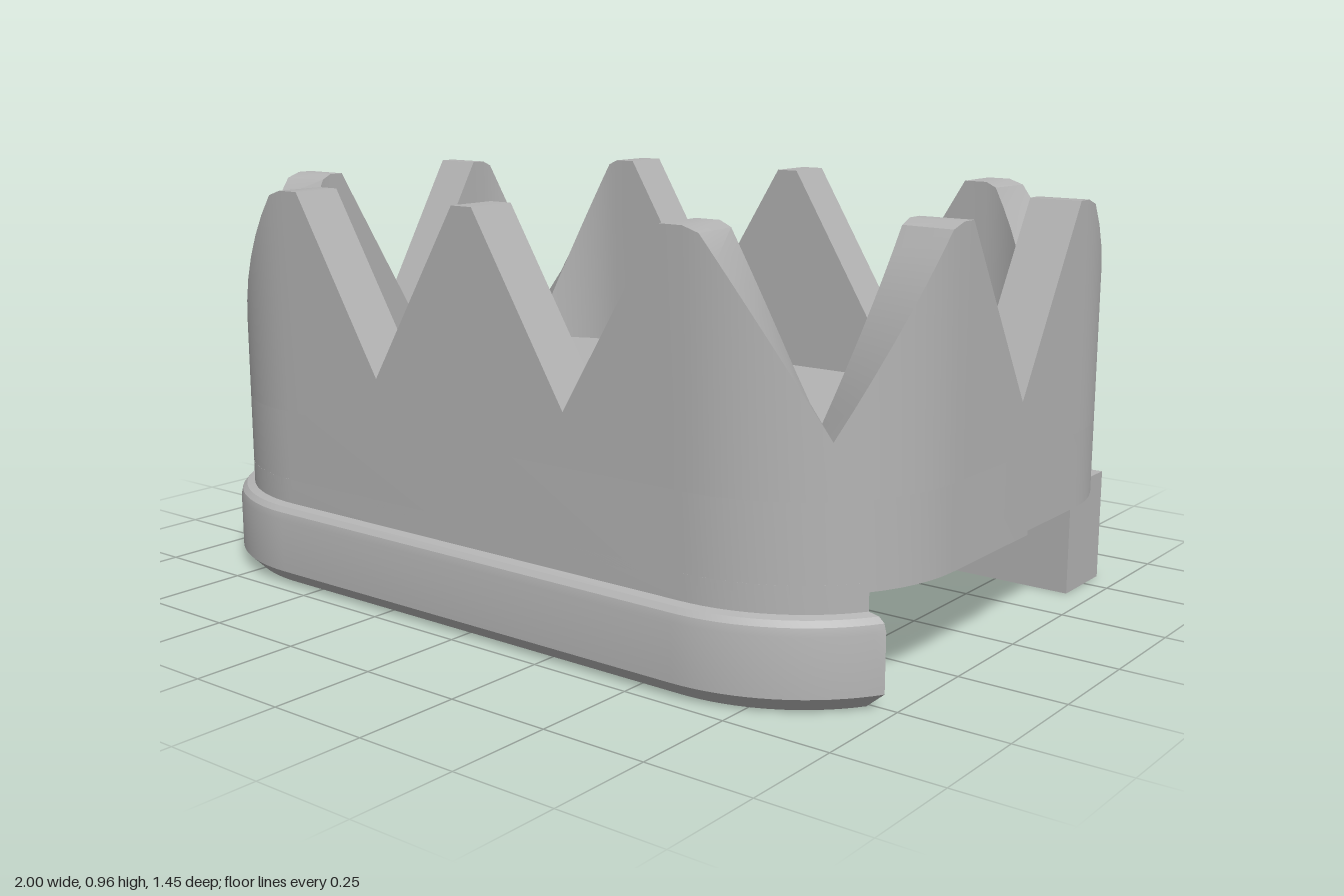
import * as THREE from 'three';
import { toCreasedNormals } from 'three/addons/utils/BufferGeometryUtils.js';

const CX = 0.6, CZ = 0.29, R = 0.4;      // corner centres and radius of the rounded plan
const TIP = 0.965, VALLEY = 0.55, FLOOR = 0.43, WALL = 0.125;

// Skin a stack of closed rings, optionally closing both ends
function loft(rings, caps) {
  const pos = [], n = rings[0].length;
  const tri = (a, b, c) => pos.push(...a, ...b, ...c);
  for (let k = 0; k < rings.length - 1; k++) {
    for (let i = 0; i < n; i++) {
      const j = (i + 1) % n;
      const a = rings[k][i], b = rings[k][j], c = rings[k + 1][j], d = rings[k + 1][i];
      tri(a, d, c);
      tri(a, c, b);
    }
  }
  if (caps) {
    const lo = rings[0], hi = rings[rings.length - 1];
    for (let i = 1; i < n - 1; i++) {
      tri(lo[0], lo[i], lo[i + 1]);
      tri(hi[0], hi[i + 1], hi[i]);
    }
  }
  const g = new THREE.BufferGeometry();
  g.setAttribute('position', new THREE.Float32BufferAttribute(pos, 3));
  g.computeVertexNormals();
  return toCreasedNormals(g, 0.5);
}

// Part of the rounded plan in front of z = cut; levels are [outward offset, y]
function slice(cut, levels) {
  return loft(levels.map(([o, y]) => {
    const r = R + o, half = [];
    const t0 = cut > CZ ? Math.asin((cut - CZ) / r) : 0;
    half.push([CX + r * Math.cos(t0), y, cut]);
    for (let i = 0; i <= 16; i++) {
      const t = t0 + (Math.PI / 2 - t0) * i / 16;
      half.push([CX + r * Math.cos(t), y, CZ + r * Math.sin(t)]);
    }
    return half.concat(half.map(([x, h, z]) => [-x, h, z]).reverse());
  }), true);
}

// Spiked wall: one quarter of the outline, mirrored around
function crownWall() {
  const quarter = [[1, 0, 1, 0, VALLEY], [1, 0.25, 1, 0, TIP]];
  for (let i = 0; i <= 16; i++) {
    const t = Math.PI / 2 * i / 16, c = Math.cos(t), s = Math.sin(t);
    const u = Math.abs(Math.sin(t - Math.PI / 4)) * Math.SQRT2;
    quarter.push([CX + R * c, CZ + R * s, c, s, VALLEY + (TIP - VALLEY) * Math.min(1, u * 1.08)]);
  }
  for (const [x, y] of [[0.54, TIP], [0.285, VALLEY], [0.03, TIP], [0, TIP]]) {
    quarter.push([x, CZ + R, 0, 1, y]);
  }
  const flip = quarter.map(([x, z, nx, nz, y]) => [-x, z, -nx, nz, y]).reverse();
  const half = quarter.concat(flip.slice(1, -1));
  const loop = half.concat(half.map(([x, z, nx, nz, y]) => [-x, -z, -nx, -nz, y]));
  // the mirrored half ends just before the side valley at -x
  loop.splice(half.length, 0, [-1, 0, -1, 0, VALLEY]);
  loop.splice(half.length + 1, 1);
  const ring = (inset, y) => loop.map(p => [p[0] - p[2] * inset, y ?? p[4], p[1] - p[3] * inset]);
  return loft([ring(0, FLOOR), ring(0), ring(WALL), ring(WALL, FLOOR)], false);
}

export function createModel() {
  const model = new THREE.Group();
  const grey = new THREE.MeshStandardMaterial({ color: 0xb4b4b4 });
  grey.name = 'plain grey';

  const add = (name, geometry, turn = 0) => {
    const m = new THREE.Mesh(geometry, grey);
    m.name = name;
    m.rotation.y = turn;
    model.add(m);
    return m;
  };
  const box = (name, x0, x1, y0, y1, z0, z1) => {
    const m = add(name, new THREE.BoxGeometry(x1 - x0, y1 - y0, z1 - z0));
    m.position.set((x0 + x1) / 2, (y0 + y1) / 2, (z0 + z1) / 2);
  };

  add('crownWall', crownWall());

  // Floor slab, slightly thinner towards the back
  add('floorFront', slice(-0.05, [[0, 0.24], [0, FLOOR]]));
  add('floorBack', slice(0.05, [[0, 0.25], [0, FLOOR]]), Math.PI);

  // Rounded rims under the front and back
  const rim = [[0, 0], [0.035, 0.035], [0.035, 0.165], [0.031, 0.183], [0.02, 0.195], [0, 0.2], [0, 0.26]];
  add('frontRim', slice(0.51, rim));
  add('backRim', slice(0.57, rim), Math.PI);

  // Slotted frame inside the back rim
  box('rearBar', -0.82, 0.82, 0, 0.27, -0.45, -0.4);
  box('rimBacking', -0.82, 0.82, 0, 0.27, -0.575, -0.52);
  for (const s of [-1, 1]) {
    box(s > 0 ? 'leftEndBlock' : 'rightEndBlock', s > 0 ? 0.8 : -0.94, s > 0 ? 0.94 : -0.8, 0, 0.27, -0.575, -0.4);
  }

  // Small chamfered latch in the middle of the bar
  const profile = new THREE.Shape([[-0.41, 0], [-0.345, 0], [-0.32, 0.025], [-0.32, 0.215], [-0.41, 0.215]]
    .map(p => new THREE.Vector2(...p)));
  const latch = new THREE.ExtrudeGeometry(profile, { depth: 0.08, bevelEnabled: false });
  latch.translate(0, 0, -0.04).rotateY(-Math.PI / 2);
  add('latch', latch);

  return model;
}
